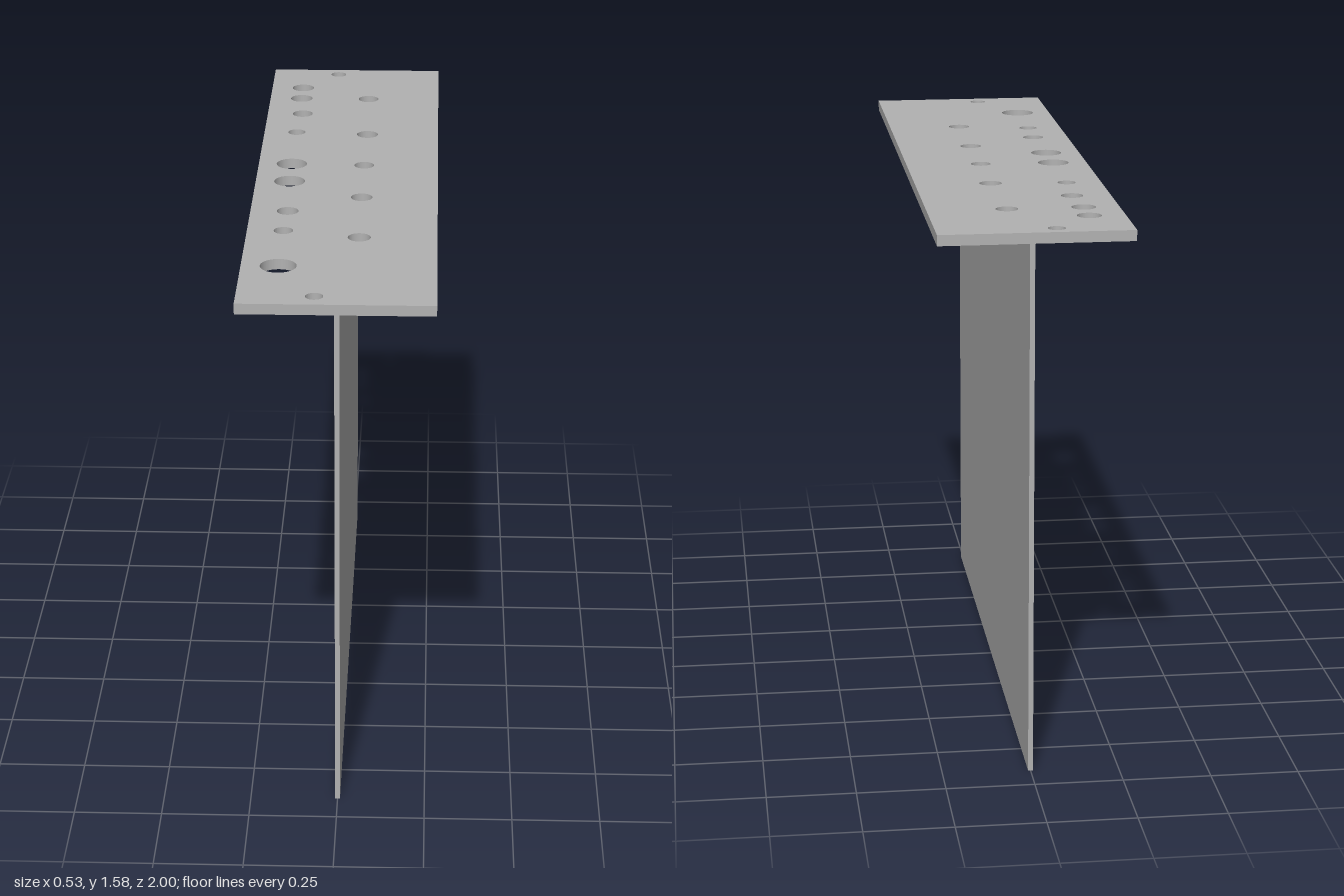
import * as THREE from 'three';

export function createModel() {
  const group = new THREE.Group();
  group.name = 'drilledTeeBracket';
  const steel = new THREE.MeshStandardMaterial({ color: 0xb2b2b2 });
  steel.name = 'grey steel';

  const plateBottom = 1.55, plateThickness = 0.03;
  const webThickness = 0.014, webLength = 1.81;
  const flangeEdge = 0.12, flangeThickness = 0.013;

  // Top plate holes: x, z, radius
  const holes = [
    [-0.058, -0.953, 0.024], [-0.167, -0.81, 0.034], [-0.167, -0.703, 0.034],
    [-0.157, -0.552, 0.031], [-0.167, -0.375, 0.026], [-0.168, -0.087, 0.045],
    [-0.167, 0.063, 0.045], [-0.16, 0.31, 0.031], [-0.164, 0.465, 0.027],
    [-0.164, 0.73, 0.05], [-0.058, 0.943, 0.024],
    // Row above the flange, closed underneath by it
    [0.045, -0.703, 0.031], [0.05, -0.36, 0.032], [0.047, -0.081, 0.029],
    [0.047, 0.192, 0.031], [0.049, 0.511, 0.032],
  ];

  // Drilled top plate, drawn flat with shape y = -z
  const outline = new THREE.Shape();
  outline.moveTo(-0.266, -1).lineTo(0.266, -1).lineTo(0.266, 1).lineTo(-0.266, 1).closePath();
  for (const [x, z, r] of holes) {
    outline.holes.push(new THREE.Path().absarc(x, -z, r, 0, Math.PI * 2, true));
  }
  const plateGeometry = new THREE.ExtrudeGeometry(outline, {
    depth: plateThickness, bevelEnabled: false, curveSegments: 32,
  });
  plateGeometry.rotateX(-Math.PI / 2);
  const plate = new THREE.Mesh(plateGeometry, steel);
  plate.name = 'topPlate';
  plate.position.y = plateBottom;
  group.add(plate);

  // Upright sheet with its top folded over into a flange
  const half = webThickness / 2;
  const profile = new THREE.Shape();
  profile.moveTo(-half, 0).lineTo(half, 0)
    .lineTo(half, plateBottom - flangeThickness)
    .lineTo(flangeEdge, plateBottom - flangeThickness)
    .lineTo(flangeEdge, plateBottom)
    .lineTo(-half, plateBottom).closePath();
  const sheetGeometry = new THREE.ExtrudeGeometry(profile, { depth: webLength, bevelEnabled: false });
  sheetGeometry.translate(0, 0, -webLength / 2);
  const sheet = new THREE.Mesh(sheetGeometry, steel);
  sheet.name = 'foldedWebSheet';
  group.add(sheet);

  return group;
}
